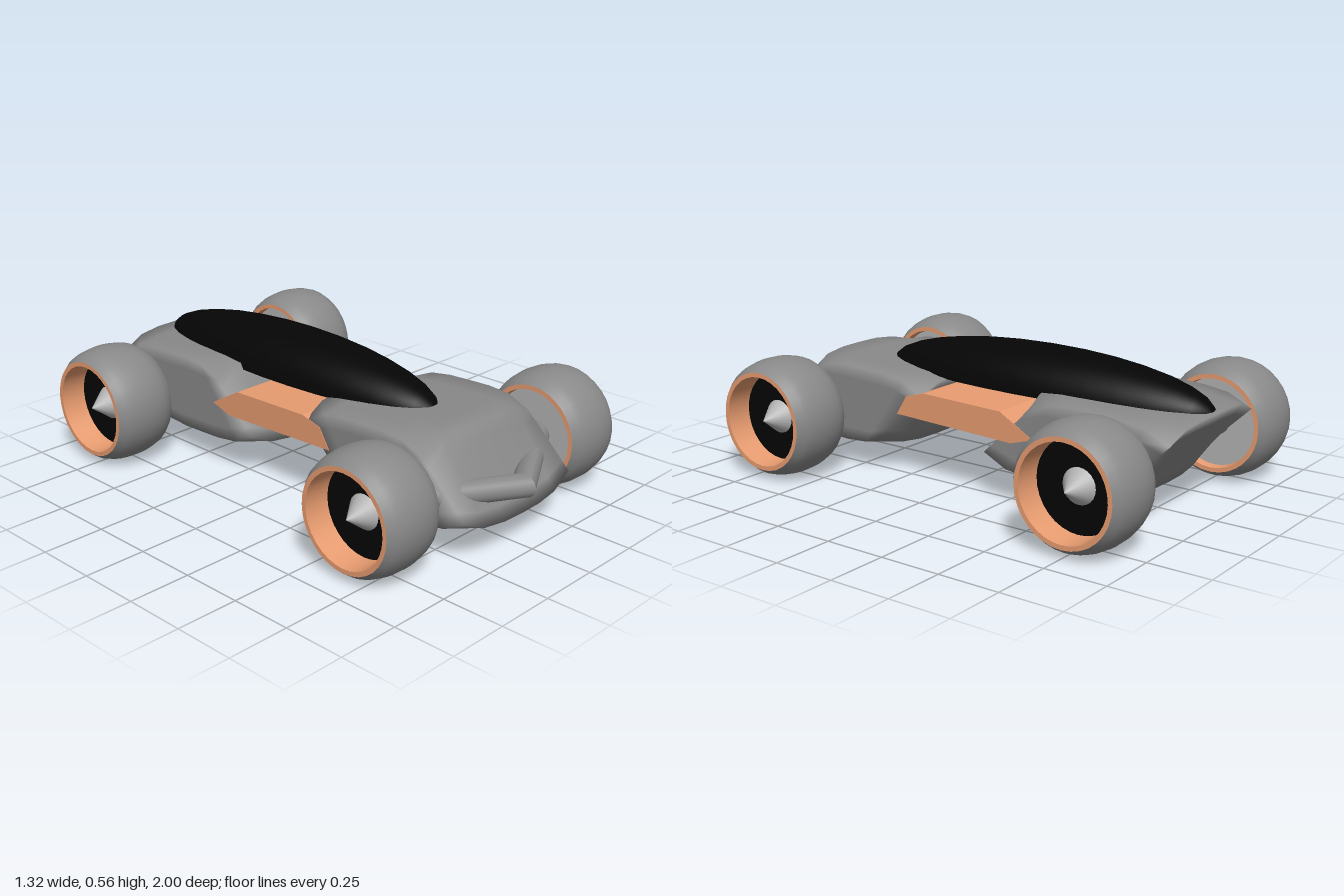
import * as THREE from 'three';
import { mergeVertices, toCreasedNormals } from 'three/addons/utils/BufferGeometryUtils.js';

const grey = new THREE.MeshStandardMaterial({ color: 0x898989 });
const lightGrey = new THREE.MeshStandardMaterial({ color: 0xb4b4b4 });
const black = new THREE.MeshStandardMaterial({ color: 0x050505 });
const orange = new THREE.MeshStandardMaterial({ color: 0xe89c70 });

function add(parent, name, geometry, material) {
  const mesh = new THREE.Mesh(geometry, material);
  mesh.name = name;
  parent.add(mesh);
  return mesh;
}

const alongX = (geometry) => geometry.rotateZ(-Math.PI / 2);
const points = (list) => list.map(([a, b]) => new THREE.Vector2(a, b));

// Box leaning backwards, its top corners drooping and bottom corners lifted, in one smooth skin
function bodyShell({ back, front, bottomBack, bottomFront, topBack, topFront }) {
  let geometry = new THREE.BoxGeometry(2, 2, 2, 6, 6, 6);
  geometry.deleteAttribute('normal');
  geometry.deleteAttribute('uv');
  geometry = mergeVertices(geometry);
  const p = geometry.attributes.position;
  for (let i = 0; i < p.count; i++) {
    const u = p.getX(i), v = p.getY(i), w = p.getZ(i);
    const t = (w + 1) / 2;
    const low = THREE.MathUtils.lerp(bottomBack, bottomFront, t);
    const high = THREE.MathUtils.lerp(topBack, topFront, t);
    const middle = (low + high) / 2;
    const rise = v * (high - low) / 2;
    const droop = 0.38 * Math.pow(Math.abs(u * w), 4);
    const z = (front + back) / 2 + w * ((front - back) / 2 - 0.022 * u * u);
    p.setXYZ(i, 0.31 * u, middle + rise * (1 - droop), z - 0.65 * (middle + rise - 0.12));
  }
  geometry.computeVertexNormals();
  return geometry;
}

// Wheel with its outer face towards +x
function makeWheel(name) {
  const wheel = new THREE.Group();
  wheel.name = name;
  const tread = [];
  for (let i = 0; i <= 10; i++) {
    const s = i / 5 - 1;
    tread.push([0.199 + 0.04 * Math.sqrt(1 - 0.97 * s * s) - 0.006 * s * s, 0.135 * s]);
  }
  add(wheel, 'tyre', alongX(new THREE.LatheGeometry(points(tread), 32)), grey);

  // Hollow rim running through the tyre
  const rim = new THREE.LatheGeometry(points([
    [0.2, 0.135], [0.182, 0.135], [0.177, 0.03], [0.177, -0.09], [0.182, -0.135], [0.2, -0.135],
  ]), 32);
  add(wheel, 'rim', alongX(toCreasedNormals(rim, 0.6)), orange);

  const outer = add(wheel, 'wheelDisc', alongX(new THREE.CylinderGeometry(0.179, 0.179, 0.02, 32)), black);
  outer.position.x = 0.02;
  const inner = add(wheel, 'innerDisc', alongX(new THREE.CylinderGeometry(0.179, 0.179, 0.02, 32)), lightGrey);
  inner.position.x = -0.09;
  const hub = add(wheel, 'hubCone', alongX(new THREE.ConeGeometry(0.068, 0.09, 24)), lightGrey);
  hub.position.x = 0.075;
  return wheel;
}

// Axle bent into a V: each half swept back from the middle
function sweptAxle() {
  const geometry = alongX(new THREE.CylinderGeometry(0.046, 0.046, 0.92, 20, 2));
  const p = geometry.attributes.position;
  for (let i = 0; i < p.count; i++) {
    p.setZ(i, 1.16 * p.getZ(i) - 0.587 * Math.abs(p.getX(i)));
  }
  return toCreasedNormals(geometry, 0.5);
}

export function createModel() {
  const car = new THREE.Group();
  car.name = 'racingCar';

  // Front and rear body shells
  add(car, 'frontBody', bodyShell({
    back: 0.31, front: 0.955, bottomBack: 0.1, bottomFront: 0.13, topBack: 0.41, topFront: 0.435,
  }), grey);
  add(car, 'rearBody', bodyShell({
    back: -0.8, front: -0.135, bottomBack: 0.11, bottomFront: 0.13, topBack: 0.41, topFront: 0.435,
  }), grey);

  // Middle beam joining the shells: side profile extruded across the car
  const profile = new THREE.Shape(points([
    [0.27, 0.265], [0.22, 0.345], [0.13, 0.37], [-0.24, 0.36], [-0.39, 0.275], [-0.29, 0.245],
  ]));
  const beam = new THREE.ExtrudeGeometry(profile, { depth: 0.624, bevelEnabled: false });
  beam.translate(0, 0, -0.312).rotateY(-Math.PI / 2);
  add(car, 'middleBeam', beam, orange);

  // Canopy: half ellipsoid with a flat underside, its poles at front and back
  const dome = new THREE.SphereGeometry(1, 24, 16, 0, Math.PI);
  dome.rotateX(-Math.PI / 2);
  const canopy = new THREE.Group();
  canopy.name = 'canopy';
  canopy.scale.set(0.198, 0.16, 0.75);
  canopy.position.set(0, 0.4, -0.222);
  add(canopy, 'canopyDome', dome, black);
  add(canopy, 'canopyBase', new THREE.CircleGeometry(1, 32).rotateX(Math.PI / 2), black);
  car.add(canopy);

  // Straight rear axle, and a swept front axle whose point pokes out of the nose
  const axle = add(car, 'rearAxle', alongX(new THREE.CylinderGeometry(0.046, 0.046, 0.92, 20)), grey);
  axle.position.set(0, 0.24, -0.77);
  add(car, 'frontAxle', sweptAxle(), grey).position.set(0, 0.24, 0.947);

  // Four wheels
  for (const side of [-1, 1]) {
    for (const [end, z] of [['Front', 0.68], ['Rear', -0.76]]) {
      const wheel = makeWheel((side > 0 ? 'left' : 'right') + end + 'Wheel');
      wheel.position.set(0.527 * side, 0.24, z);
      if (side < 0) wheel.rotation.y = Math.PI;
      car.add(wheel);
    }
  }
  return car;
}
